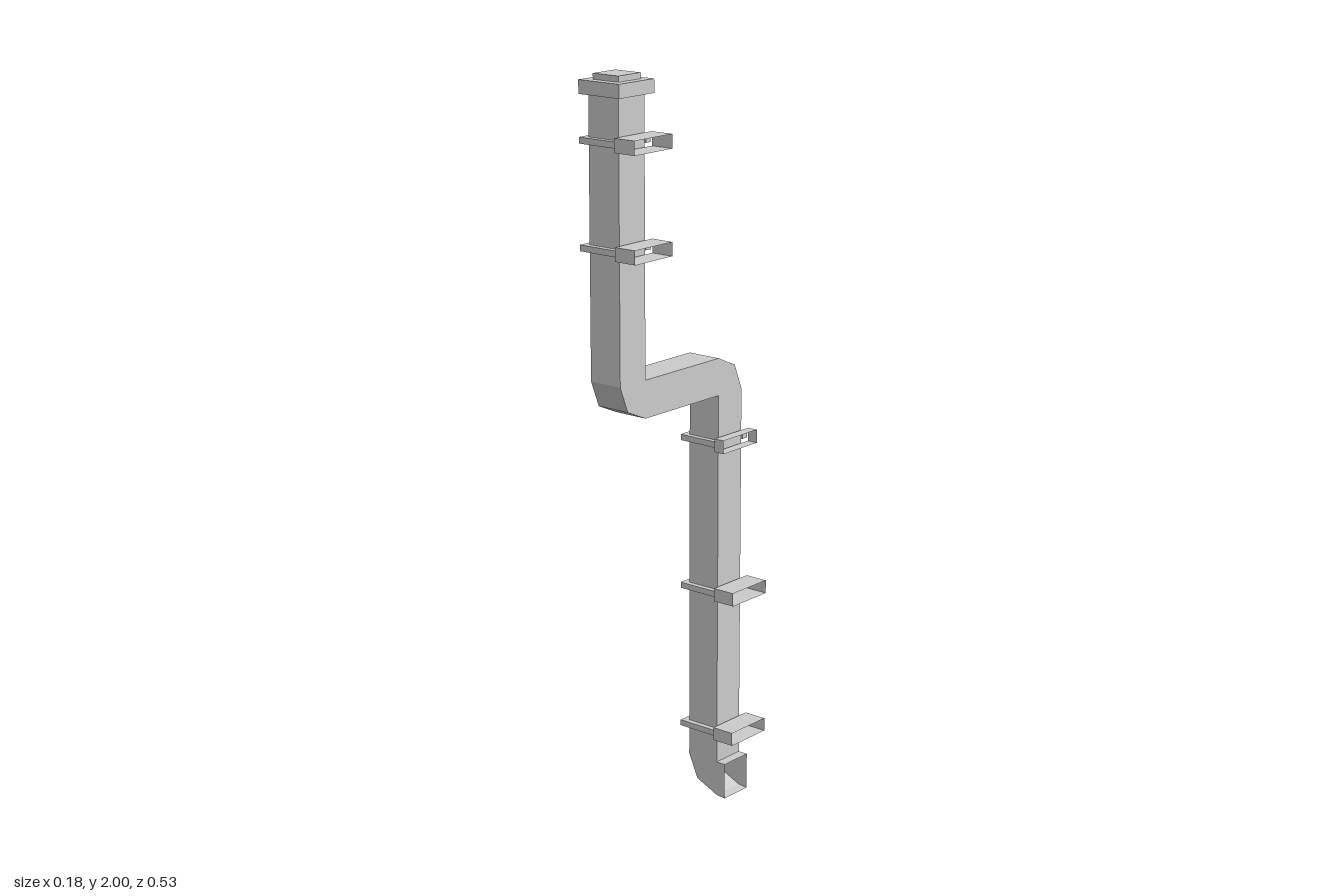
import * as THREE from 'three';

const X0 = -0.075, X1 = 0.022;          // pipe sides
const solid = new THREE.MeshStandardMaterial({ color: 0xcccccc, flatShading: true });
const shell = new THREE.MeshStandardMaterial({ color: 0xcccccc, flatShading: true, side: THREE.DoubleSide });

// Joins four-cornered rings into an open tube, skipping collapsed triangles at the bends
function tube(rings) {
  const pos = [];
  const tri = (a, b, c) => {
    const [A, B, C] = [a, b, c].map((p) => new THREE.Vector3(...p));
    if (B.clone().sub(A).cross(C.clone().sub(A)).length() > 1e-8) pos.push(...a, ...b, ...c);
  };
  for (let j = 0; j < rings.length - 1; j++) {
    for (let i = 0; i < 4; i++) {
      const k = (i + 1) % 4;
      const a = rings[j][i], b = rings[j + 1][i], c = rings[j + 1][k], d = rings[j][k];
      tri(a, b, c);
      tri(a, c, d);
    }
  }
  const geo = new THREE.BufferGeometry();
  geo.setAttribute('position', new THREE.Float32BufferAttribute(pos, 3));
  geo.computeVertexNormals();
  return geo;
}

function add(parent, name, geo, mat = solid) {
  const mesh = new THREE.Mesh(geo, mat);
  mesh.name = name;
  parent.add(mesh);
  return mesh;
}

function box(parent, name, x0, x1, y0, y1, z0, z1) {
  const mesh = add(parent, name, new THREE.BoxGeometry(x1 - x0, y1 - y0, z1 - z0));
  mesh.position.set((x0 + x1) / 2, (y0 + y1) / 2, (z0 + z1) / 2);
}

// U-shaped strap round the pipe with an open-ended hollow arm on its +x side
function bracket(y, z, reach) {
  const g = new THREE.Group();
  g.name = 'wallBracket';
  const s = new THREE.Shape();
  [[0.026, -0.065], [-0.093, -0.065], [-0.093, 0.065], [0.026, 0.065],
    [0.026, 0.047], [X0, 0.047], [X0, -0.047], [0.026, -0.047]]
    .forEach(([x, v], i) => (i ? s.lineTo(x, v) : s.moveTo(x, v)));
  const strapGeo = new THREE.ExtrudeGeometry(s, { depth: 0.016, bevelEnabled: false });
  strapGeo.translate(0, 0, -0.008).rotateX(-Math.PI / 2);
  add(g, 'strap', strapGeo);

  const h = 0.018, w = 0.07;
  const ring = (x) => [[x, h, w], [x, -h, w], [x, -h, -w], [x, h, -w]];
  add(g, 'arm', tube([ring(0.026), ring(reach)]), shell);
  g.position.set(0, y, z);
  return g;
}

export function createModel() {
  const model = new THREE.Group();
  model.name = 'drainpipe';

  // Pipe run: front and back edge as z, y at each section, from the top down
  const rings = [
    [0.243, 1.96, 0.147, 1.96],
    [0.243, 1.23, 0.147, 1.23],
    [0.215, 1.16, 0.147, 1.23],
    [0.147, 1.13, 0.147, 1.23],
    [-0.145, 1.13, -0.145, 1.23],
    [-0.145, 1.13, -0.212, 1.2],
    [-0.145, 1.13, -0.241, 1.13],
    [-0.145, 0.1, -0.241, 0.1],
  ].map(([fz, fy, bz, by]) => [[X0, fy, fz], [X1, fy, fz], [X1, by, bz], [X0, by, bz]]);

  // Outlet elbow turning to +x: outer x, y and inner x
  for (const [x, y, xi] of [[-0.046, 0.034, X1], [X1, 0.003, X1], [0.05, 0, 0.05]]) {
    rings.push([[x, y, -0.145], [xi, 0.1, -0.145], [xi, 0.1, -0.241], [x, y, -0.241]]);
  }
  add(model, 'pipe', tube(rings), shell);

  // Top collar and plug
  box(model, 'collar', -0.093, 0.038, 1.95, 1.985, 0.129, 0.259);
  box(model, 'topPlug', -0.068, 0.014, 1.98, 2, 0.151, 0.234);

  // Brackets: height, depth, arm end
  for (const [y, z, reach] of [
    [1.837, 0.194, 0.091], [1.57, 0.194, 0.091],
    [1.0, -0.195, 0.056], [0.587, -0.195, 0.091], [0.19, -0.195, 0.091],
  ]) model.add(bracket(y, z, reach));

  return model;
}
